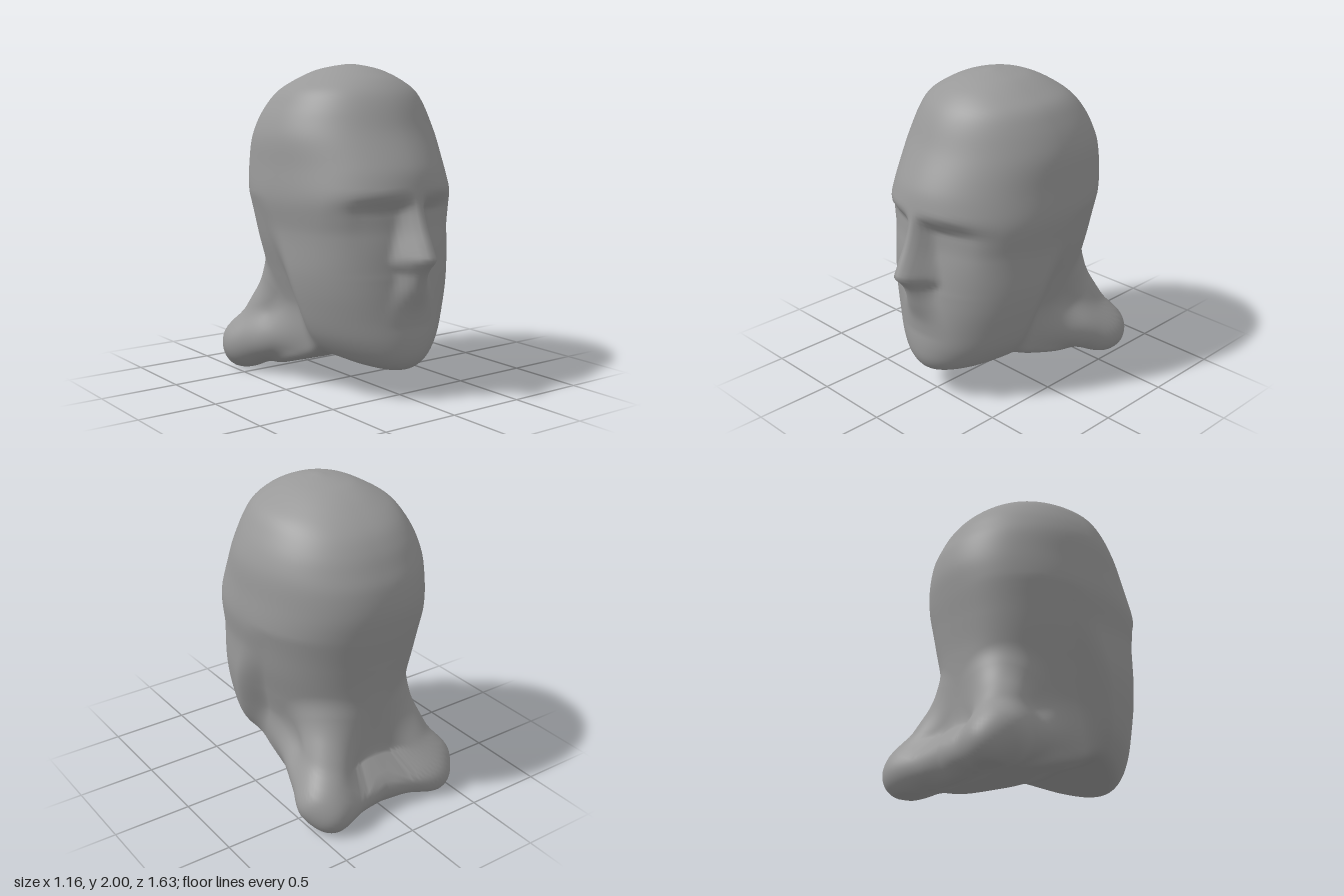
import * as THREE from 'three';
import { mergeVertices } from 'three/addons/utils/BufferGeometryUtils.js';

const { smoothstep, lerp, clamp } = THREE.MathUtils;

// Smooth curve through [position, value] pairs (ascending)
function curve(pts) {
  const slope = pts.map((p, i) => {
    const a = pts[Math.max(i - 1, 0)], b = pts[Math.min(i + 1, pts.length - 1)];
    return (b[1] - a[1]) / (b[0] - a[0]);
  });
  return (v) => {
    if (v <= pts[0][0]) return pts[0][1];
    for (let i = 1; i < pts.length; i++) {
      if (v > pts[i][0]) continue;
      const h = pts[i][0] - pts[i - 1][0], t = (v - pts[i - 1][0]) / h, t2 = t * t, t3 = t2 * t;
      return (2 * t3 - 3 * t2 + 1) * pts[i - 1][1] + (t3 - 2 * t2 + t) * h * slope[i - 1]
        + (3 * t2 - 2 * t3) * pts[i][1] + (t3 - t2) * h * slope[i];
    }
    return pts[pts.length - 1][1];
  };
}

// Head profiles by height
const front = curve([[0, 0.4], [0.14, 0.5], [0.18, 0.58], [0.25, 0.63], [0.35, 0.645], [0.5, 0.635], [0.65, 0.625],
  [0.8, 0.615], [1, 0.62], [1.1, 0.645], [1.2, 0.67], [1.3, 0.66], [1.4, 0.63], [1.6, 0.52], [1.8, 0.42],
  [1.9, 0.32], [1.96, 0.2], [1.985, 0.11], [2, 0.02]]);
const back = curve([[0, 0.61], [0.5, 0.61], [0.8, 0.63], [1, 0.66], [1.2, 0.695], [1.35, 0.71], [1.5, 0.69],
  [1.6, 0.65], [1.7, 0.6], [1.8, 0.52], [1.9, 0.38], [1.96, 0.25], [1.985, 0.14], [2, 0.03]]);
const faceWidth = curve([[0.1, 0.12], [0.17, 0.24], [0.22, 0.335], [0.3, 0.415], [0.4, 0.475], [0.55, 0.515],
  [0.75, 0.545], [1, 0.55], [1.2, 0.578], [1.4, 0.567], [1.55, 0.555], [1.65, 0.525], [1.75, 0.475], [1.84, 0.41],
  [1.9, 0.32], [1.96, 0.2], [1.985, 0.11], [2, 0.02]]);
const napeWidth = curve([[0.2, 0.36], [0.5, 0.395], [0.7, 0.45], [0.9, 0.51], [1.1, 0.555], [1.2, 0.578]]);
// Roundness of the front half: slim temples, fuller cheeks
const frontPower = curve([[0.2, 2.1], [0.4, 2.15], [0.65, 2.35], [0.95, 2.4], [1.2, 2.1], [1.4, 1.9], [1.65, 1.9], [1.9, 2]]);
// Jaw crease and underside in side view
const jawLine = curve([[0.2, 0.2], [0.45, 0.13], [0.8, 0.03], [1.15, -0.12]]);
const underside = curve([[-0.7, 0.03], [-0.4, 0.08], [0, 0.19], [0.2, 0.25], [0.55, 0.15], [0.7, 0.145]]);
// Nose and upper lip: height above the face and half width
const noseHeight = curve([[0.45, 0], [0.55, 0.02], [0.65, 0.06], [0.77, 0.11], [0.82, 0.145], [0.865, 0.19],
  [0.9, 0.18], [1, 0.13], [1.1, 0.065], [1.2, 0.01], [1.26, 0]]);
const noseWidth = curve([[0.5, 0.23], [0.65, 0.17], [0.77, 0.13], [0.83, 0.165], [0.88, 0.16], [1, 0.125], [1.2, 0.08]]);
// Eye sockets: depth by height and by distance from the middle
const socketDepth = curve([[0.75, 0], [0.9, 0.012], [1, 0.03], [1.1, 0.06], [1.16, 0.07], [1.22, 0.018], [1.26, 0]]);
const socketSpan = curve([[0.015, 0], [0.09, 0.8], [0.18, 1], [0.3, 0.85], [0.4, 0.35], [0.48, 0]]);

function blend(a, b, k) {
  const h = Math.max(k - Math.abs(a - b), 0) / k;
  return Math.min(a, b) - h * h * k / 4;
}

// Distance to a capsule tapering from radius ra to rb
function taper(p, a, ra, b, rb) {
  const d = b.map((v, i) => v - a[i]), q = p.map((v, i) => v - a[i]);
  const t = clamp((q[0] * d[0] + q[1] * d[1] + q[2] * d[2]) / (d[0] ** 2 + d[1] ** 2 + d[2] ** 2), 0, 1);
  return Math.hypot(q[0] - t * d[0], q[1] - t * d[1], q[2] - t * d[2]) - ra - t * (rb - ra);
}

// Negative inside the sculpted form, mirrored in x
function field(px, y, z) {
  const x = Math.abs(px);
  if (y > 2) return 1;
  const p = [x, y, z];
  // skull, with the face standing wider than the nape
  const w = lerp(napeWidth(y), faceWidth(y), y < 1.2 ? smoothstep(z - jawLine(y), -0.14, 0.08) : 1);
  const cz = -0.04 * clamp((2 - y) * 3, 0, 1);
  let depth = back(y) + cz, power = 2.2;
  if (z > cz) {
    // nose ridge and eye sockets
    depth = front(y) - cz - socketDepth(y) * socketSpan(x)
      + noseHeight(y) * (1 - smoothstep(x, 0.015, noseWidth(y)));
    power = frontPower(y);
  }
  let f = 0.5 * (Math.pow(Math.pow(x / w, power) + Math.pow(Math.abs(z - cz) / depth, power), 1 / power) - 1);
  f = -blend(-f, y - underside(z), 0.06);
  // neck: flared corners with ridges to the jaw and nape, and the bridge between them
  const corner = [0.405, 0.17, -0.62], heel = [0.385, 0.115, -0.69];
  const flare = blend(taper(p, corner, 0.15, [0.19, 0.37, 0], 0.15), taper(p, corner, 0.145, heel, 0.105), 0.04);
  const ridge = taper(p, [0.36, 0.18, -0.61], 0.15, [0.21, 0.56, -0.41], 0.17);
  const bridge = taper(p, [0, 0.15, -0.61], 0.13, heel, 0.1);
  return blend(f, blend(blend(flare, ridge, 0.08), bridge, 0.1), 0.12);
}

// Push every point of a sphere out to the surface of the form
function sculpt() {
  const geo = new THREE.SphereGeometry(1, 200, 150);
  geo.deleteAttribute('uv');
  geo.deleteAttribute('normal');
  const pos = geo.attributes.position, d = new THREE.Vector3();
  const cy = 0.7, cz = -0.2;
  for (let i = 0; i < pos.count; i++) {
    d.fromBufferAttribute(pos, i).normalize();
    const at = (r) => field(d.x * r, cy + d.y * r, cz + d.z * r);
    let out = 1.5;
    while (out > 0.1 && at(out - 0.02) > 0) out -= 0.02;
    let inn = out - 0.02;
    for (let k = 0; k < 12; k++) {
      const m = (inn + out) / 2;
      if (at(m) > 0) out = m; else inn = m;
    }
    pos.setXYZ(i, d.x * out, Math.max(0, cy + d.y * out), cz + d.z * out);
  }
  const merged = mergeVertices(geo, 1e-5);
  merged.computeVertexNormals();
  return merged;
}

export function createModel() {
  const group = new THREE.Group();
  group.name = 'headBust';
  const head = new THREE.Mesh(sculpt(), new THREE.MeshStandardMaterial({ color: 0x999999 }));
  head.name = 'headAndNeck';
  group.add(head);
  return group;
}
